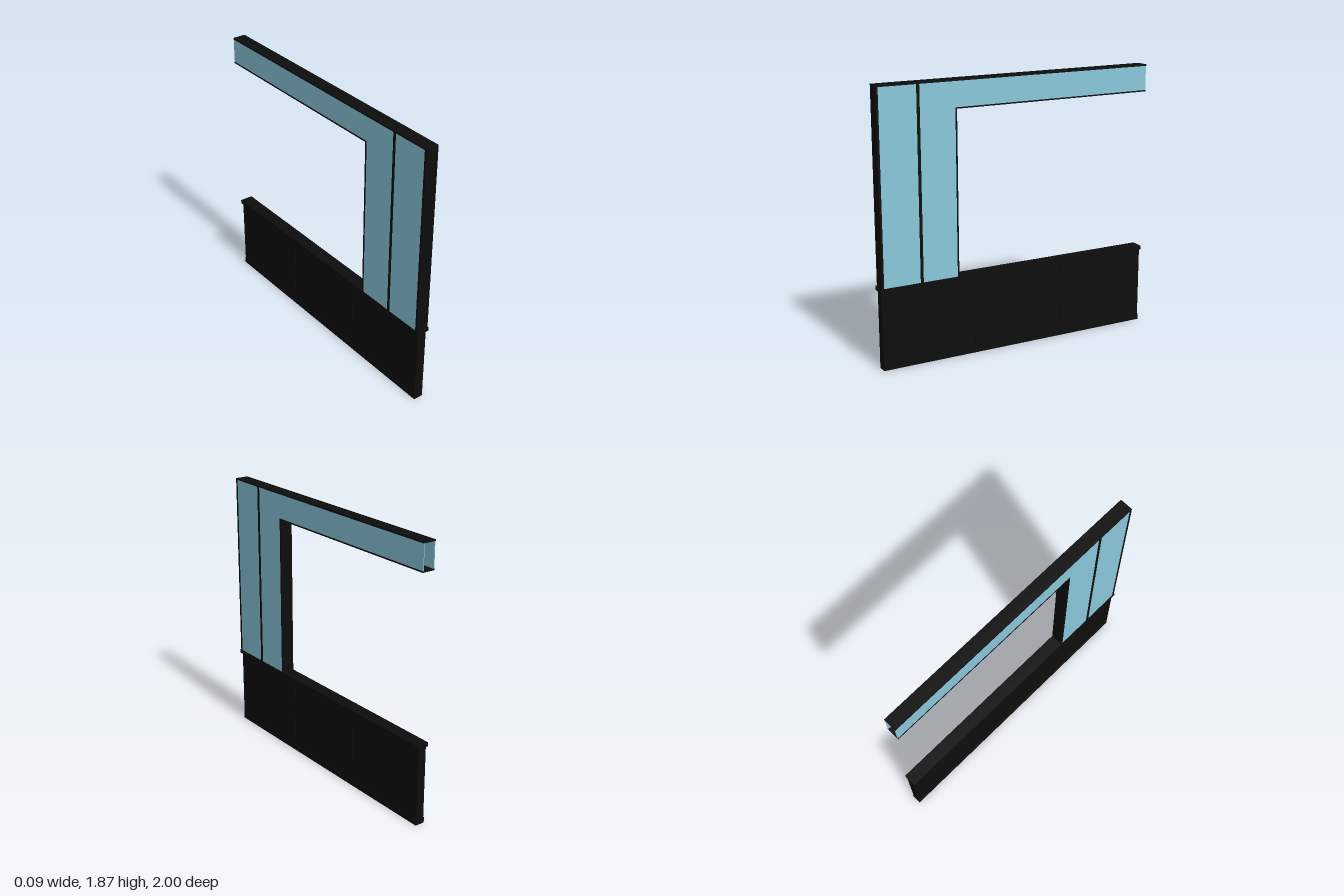
import * as THREE from 'three';

const frameMat = new THREE.MeshStandardMaterial({ color: 0x0d0d0d });
const glassMat = new THREE.MeshStandardMaterial({ color: 0x8ac8db });

export function createModel() {
  const model = new THREE.Group();

  // Bar centred on x = 0, given by half width and its y and z limits
  function bar(name, half, y0, y1, z0, z1, parent = model) {
    const mesh = new THREE.Mesh(new THREE.BoxGeometry(half * 2, y1 - y0, z1 - z0), frameMat);
    mesh.position.set(0, (y0 + y1) / 2, (z0 + z1) / 2);
    mesh.name = name;
    parent.add(mesh);
  }

  // Thin glass sheet from an outline of [z, y] points, one on each side
  function panes(name, points) {
    const thickness = 0.004;
    const shape = new THREE.Shape(points.map(([z, y]) => new THREE.Vector2(z, y)));
    const geo = new THREE.ExtrudeGeometry(shape, { depth: thickness, bevelEnabled: false });
    geo.translate(0, 0, -thickness / 2);
    geo.rotateY(-Math.PI / 2);
    for (const side of [-1, 1]) {
      const mesh = new THREE.Mesh(geo, glassMat);
      mesh.position.x = side * 0.041;
      mesh.name = (side > 0 ? 'left' : 'right') + name;
      model.add(mesh);
    }
  }

  // Lower wall: recessed panels held by rails and studs
  const wall = new THREE.Group();
  wall.name = 'lowerWall';
  model.add(wall);
  bar('wallPanel', 0.03, 0.03, 0.54, -0.998, 0.985, wall);
  bar('bottomRail', 0.034, 0, 0.04, -1, 0.99, wall);
  for (const z of [0.983, 0.32, -0.34]) {
    bar('wallStud', 0.033, 0.04, 0.54, z - 0.007, z + 0.007, wall);
  }

  // Sill across the top of the wall
  bar('sill', 0.046, 0.538, 0.565, -1, 1);

  // Window frame: posts and the two flanges of the open-ended top beam
  bar('frontPost', 0.046, 0.565, 1.87, 0.976, 0.99);
  bar('middlePost', 0.046, 0.565, 1.86, 0.701, 0.721);
  bar('innerPost', 0.046, 0.565, 1.685, 0.445, 0.455);
  bar('topRail', 0.046, 1.86, 1.87, -1, 0.99);
  bar('beamBottomRail', 0.046, 1.683, 1.692, -1, 0.455);

  // Glazing: a tall front pane and an L-shaped pane running along the beam
  panes('FrontPane', [[0.721, 0.565], [0.976, 0.565], [0.976, 1.86], [0.721, 1.86]]);
  panes('CornerPane', [
    [0.455, 0.565], [0.701, 0.565], [0.701, 1.86],
    [-1, 1.86], [-1, 1.692], [0.455, 1.692],
  ]);

  return model;
}
